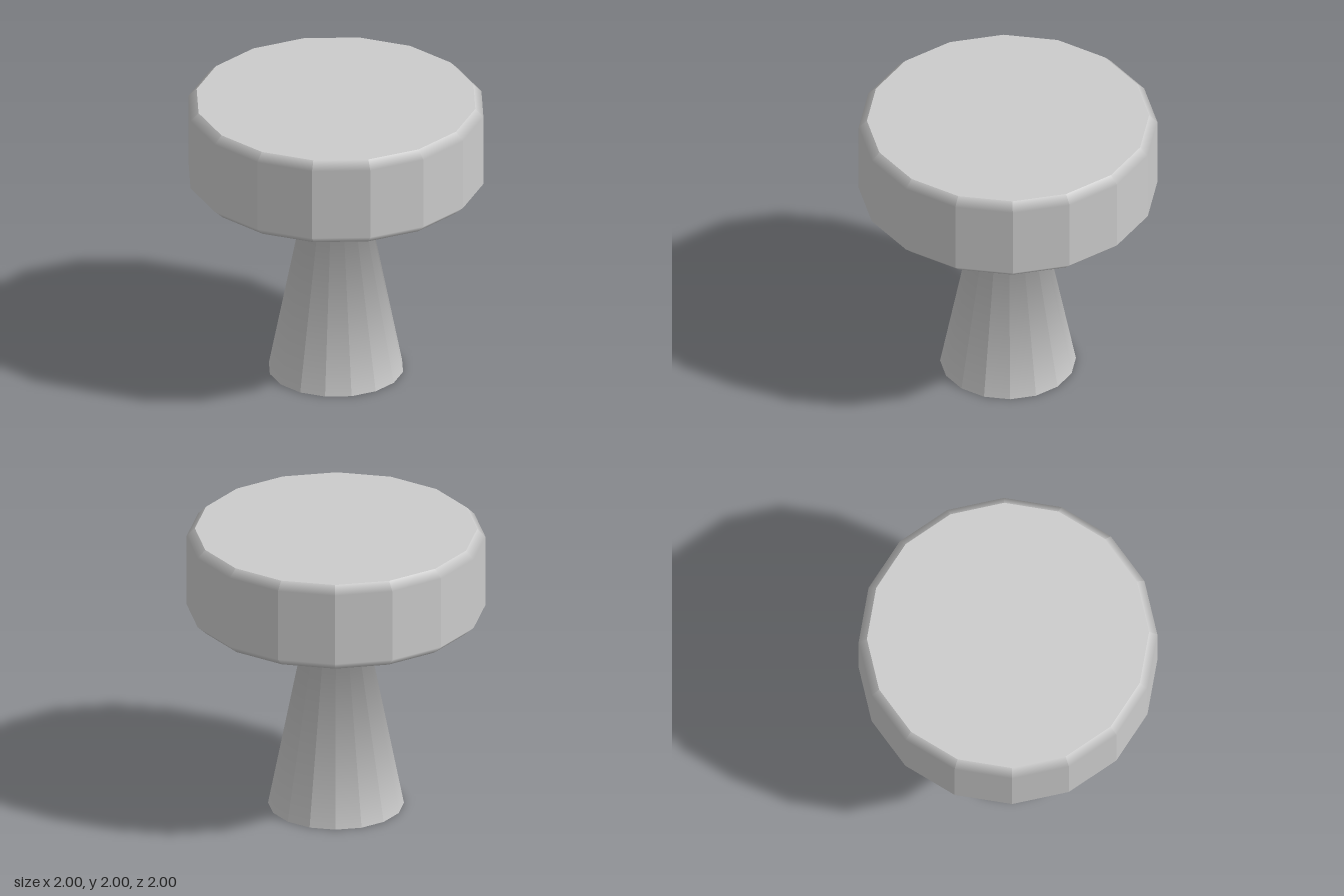
import * as THREE from 'three';

const SIDES = 16;

// Faceted ring surface: flat around the axis, shaded smoothly along the profile.
// Each profile row is [radius, height, outward normal, upward normal].
function facetedLathe(profile) {
  const points = profile.map(([r, y]) => new THREE.Vector2(r, y));
  const geometry = new THREE.LatheGeometry(points, SIDES).toNonIndexed();
  const pos = geometry.attributes.position;
  const normal = geometry.attributes.normal;
  const n = new THREE.Vector3();
  for (let i = 0; i < pos.count; i += 3) {
    let cx = 0, cz = 0;
    for (let k = i; k < i + 3; k++) {
      cx += pos.getX(k);
      cz += pos.getZ(k);
    }
    // direction of the middle of this facet
    const step = (Math.PI * 2) / SIDES;
    const angle = (Math.floor(Math.atan2(cx, cz) / step) + 0.5) * step;
    for (let k = i; k < i + 3; k++) {
      const row = profile.find((p) => Math.abs(p[1] - pos.getY(k)) < 1e-4);
      n.set(Math.sin(angle) * row[2], row[3], Math.cos(angle) * row[2]).normalize();
      normal.setXYZ(k, n.x, n.y, n.z);
    }
  }
  return geometry;
}

export function createModel() {
  const group = new THREE.Group();
  const material = new THREE.MeshStandardMaterial({ color: 0xcccccc });

  function add(name, geometry, y = 0) {
    const mesh = new THREE.Mesh(geometry, material);
    mesh.name = name;
    mesh.position.y = y;
    group.add(mesh);
    return mesh;
  }

  // Tapered stem, blending into the underside of the head at the neck
  add('stem', facetedLathe([
    [0.455, 0, 0.98, 0.19],
    [0.2, 1.295, 0.8, -0.6],
  ]));

  // Wide head: shallow underside, lower bevel, wall and upper bevel
  add('head', facetedLathe([
    [0.2, 1.295, 0.8, -0.6],
    [0.935, 1.385, 0.12, -0.99],
    [1, 1.445, 1, 0],
    [1, 1.945, 1, 0],
    [0.945, 2, 0.71, 0.71],
  ]));

  // Flat discs closing the top and the foot
  const top = new THREE.CircleGeometry(0.945, SIDES).rotateX(-Math.PI / 2);
  add('headTop', top, 2);
  const foot = new THREE.CircleGeometry(0.455, SIDES).rotateX(Math.PI / 2);
  add('stemBase', foot);

  return group;
}
